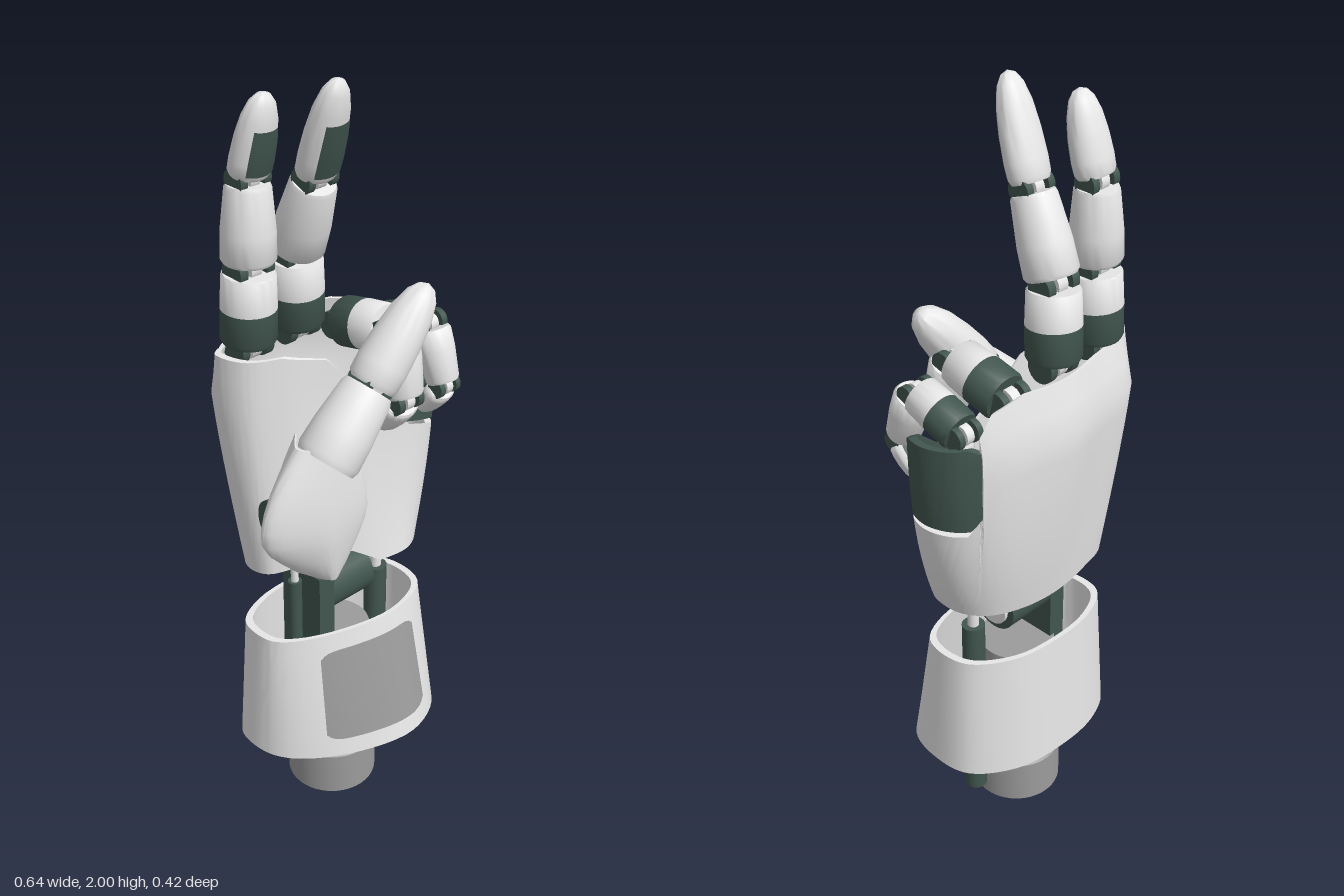
import * as THREE from 'three';
import { toCreasedNormals } from 'three/addons/utils/BufferGeometryUtils.js';

const material = (name, color) => {
  const m = new THREE.MeshStandardMaterial({ color, side: THREE.DoubleSide });
  m.name = name;
  return m;
};
const V = (x, y, z) => new THREE.Vector3(x, y, z);
const UP = V(0, 1, 0);

// piecewise linear lookup in a list of [input, output] pairs
function interp(table, v) {
  if (v <= table[0][0]) return table[0][1];
  for (let i = 1; i < table.length; i++) {
    const [a, p] = table[i - 1], [b, q] = table[i];
    if (v <= b) return p + (q - p) * (v - a) / (b - a);
  }
  return table[table.length - 1][1];
}

export function createModel() {
  const model = new THREE.Group();
  model.name = 'roboticHand';
  const light = material('lightShell', 0xebebeb);
  const dark = material('darkGreen', 0x42564f);
  const grey = material('midGrey', 0x9c9c9c);

  const add = (parent, name, geo, mat, pos) => {
    const mesh = new THREE.Mesh(geo, mat);
    mesh.name = name;
    if (pos) mesh.position.copy(pos);
    parent.add(mesh);
    return mesh;
  };
  const rod = (parent, name, mat, a, b, r) => {
    const mesh = add(parent, name, new THREE.CylinderGeometry(r, r, a.distanceTo(b), 24), mat,
      a.clone().lerp(b, 0.5));
    mesh.quaternion.setFromUnitVectors(UP, b.clone().sub(a).normalize());
    return mesh;
  };

  // thick curved wall: at(u, y) gives the outer [x, z], low(u)/high(u) its edges
  function wall(name, mat, at, low, high, u0, u1, cols, centre, inner) {
    const pos = [], index = [], rows = 10, n = rows * 2 + 2;
    for (let i = 0; i <= cols; i++) {
      const u = u0 + (u1 - u0) * i / cols;
      for (let j = 0; j < n; j++) {
        const out = j <= rows, t = (out ? j : n - 1 - j) / rows;
        const y = low(u) + (high(u) - low(u)) * t, k = out ? 1 : inner;
        const [x, z] = at(u, y);
        pos.push(centre[0] + (x - centre[0]) * k, y, centre[1] + (z - centre[1]) * k);
      }
    }
    for (let i = 0; i < cols; i++) for (let j = 0; j < n; j++) {
      const a = i * n + j, b = i * n + (j + 1) % n;
      index.push(a, b, a + n, b, b + n, a + n);
    }
    const geo = new THREE.BufferGeometry();
    geo.setAttribute('position', new THREE.Float32BufferAttribute(pos, 3));
    geo.setIndex(index);
    return add(model, name, toCreasedNormals(geo, 0.7), mat);
  }
  const outline = (pts, closed) => {
    const c = new THREE.CatmullRomCurve3(pts.map(([x, z]) => V(x, 0, z)), closed);
    const n = closed ? pts.length : pts.length - 1;
    return u => c.getPoint(closed ? (u / n) % 1 : Math.min(u / n, 1));
  };

  // wrist connector with a hollow end
  const ring = [[0.09, 0.05], [0.09, 0], [0.12, 0], [0.12, 0.125], [0.105, 0.14], [0.105, 0.19],
    [0.12, 0.2], [0.12, 0.24], [0.1, 0.25], [0.1, 0.5], [0, 0.5]].map(p => new THREE.Vector2(...p));
  add(model, 'wristConnector', toCreasedNormals(new THREE.LatheGeometry(ring, 40), 0.5), grey, V(-0.01, 0, -0.01));
  const socket = add(model, 'connectorSocket', new THREE.CircleGeometry(0.092, 32), grey, V(-0.01, 0.05, -0.01));
  socket.rotation.x = Math.PI / 2;

  // forearm cuff and its inset panel
  const cuffLine = outline([[-0.26, -0.01], [-0.248, -0.11], [-0.15, -0.165], [0, -0.175], [0.13, -0.15], [0.235, -0.07],
    [0.255, 0.02], [0.225, 0.145], [0.09, 0.208], [-0.1, 0.157], [-0.225, 0.065]], true);
  const cuff = grow => (u, y) => {
    const p = cuffLine(u), t = (y - 0.2) / 0.37;
    return [p.x * (1 - 0.07 * t) * grow, p.z * (1 - (p.z > 0 ? 0.37 : 0.11) * t) * grow];
  };
  wall('forearmCuff', light, cuff(1), () => 0.2, () => 0.57, 0, 11, 66, [0, 0], 0.92);
  const corner = u => 0.02 * Math.pow(Math.abs((u - 8.47) / 0.87), 8);
  wall('cuffPanel', grey, cuff(1.008), u => 0.25 + corner(u), u => 0.52 - corner(u), 7.6, 9.34, 24, [0, 0], 0.99);

  // wrist linkage
  rod(model, 'sideActuator', dark, V(0.14, 0.055, 0), V(0.14, 0.62, 0), 0.03);
  rod(model, 'sidePushRod', light, V(0.14, 0.6, 0), V(0.14, 0.9, 0), 0.015);
  rod(model, 'thumbActuator', dark, V(-0.145, 0.3, 0), V(-0.145, 0.71, 0), 0.018);
  rod(model, 'thumbPushRod', light, V(-0.145, 0.7, 0), V(-0.145, 0.9, 0), 0.01);
  add(model, 'wristBracket', new THREE.BoxGeometry(0.05, 0.3, 0.14), dark, V(-0.09, 0.575, -0.01));
  rod(model, 'wristPivot', dark, V(-0.065, 0.65, -0.01), V(0.075, 0.65, -0.01), 0.07);
  rod(model, 'wristPivotCap', light, V(0.07, 0.65, -0.01), V(0.085, 0.65, -0.01), 0.05);
  add(model, 'wristPost', new THREE.BoxGeometry(0.05, 0.36, 0.08), dark, V(-0.015, 0.85, -0.02));
  const deck = add(model, 'palmDeck', new THREE.CylinderGeometry(1, 1, 0.02, 40), light, V(0.02, 0.98, -0.055));
  deck.scale.set(0.24, 1, 0.1);
  add(model, 'palmCore', new THREE.BoxGeometry(0.07, 0.16, 0.05), dark, V(0.0, 1.06, 0));

  // palm shell, with the dark guard over the little finger side
  const palmTop = outline([[-0.285, -0.1], [-0.25, -0.165], [-0.13, -0.19], [0, -0.212], [0.12, -0.187], [0.22, -0.15],
    [0.295, -0.095], [0.322, -0.02], [0.297, 0.045], [0.18, 0.07], [0.06, 0.055], [-0.06, 0.03], [-0.18, 0.01], [-0.26, -0.03]], true);
  const palmBase = outline([[-0.225, -0.07], [-0.2, -0.12], [-0.11, -0.145], [0, -0.155], [0.1, -0.14], [0.18, -0.1],
    [0.22, -0.04], [0.225, 0.02], [0.21, 0.07], [0.15, 0.108], [0.06, 0.1], [-0.05, 0.06], [-0.14, 0.03], [-0.215, -0.01]], true);
  const palm = (u, y) => {
    const a = palmBase(u), b = palmTop(u), s = Math.min(1, Math.max(0, (y - 0.72) / 0.54));
    const p = a.lerp(b, 1 - Math.pow(1 - s, 1.2 + 1.2 * THREE.MathUtils.smoothstep(b.x, -0.1, 0.2)));
    const tuck = p.z < -0.1 ? Math.max(0, y - 1.24) * 0.3 * Math.min(1, (-0.1 - p.z) / 0.06) : 0;
    return [p.x, p.z + tuck];
  };
  const palmHigh = [[0, 1.365], [4, 1.36], [4.8, 1.335], [5.2, 1.29], [5.3, 1.06], [5.6, 1.02], [8, 1.02], [9, 1.07],
    [10, 1.19], [11, 1.32], [12, 1.36], [14, 1.365]];
  const palmLow = [[0, 0.75], [3, 0.735], [8, 0.725], [10, 0.725], [10.6, 0.77], [11.2, 0.8], [12, 0.77], [14, 0.75]];
  wall('palmShell', light, palm, u => interp(palmLow, u), u => interp(palmHigh, u), 0, 14, 140, [0.01, -0.06], 0.94);
  wall('littleFingerGuard', dark, palm, u => interp([[5.22, 1.07], [5.5, 1.035], [8, 1.035], [9.3, 1.09]], u),
    u => interp([[5.22, 1.25], [5.5, 1.265], [7.6, 1.26], [8.3, 1.23], [9.3, 1.12]], u), 5.22, 9.3, 40, [0.01, -0.06], 0.94);

  // tapered segment between two points; profile holds [radius, fraction of length]
  function segment(parent, name, mat, a, b, profile, start = 0, sweep = Math.PI * 2) {
    const len = a.distanceTo(b);
    const pts = profile.map(([r, t]) => new THREE.Vector2(r, t * len));
    const mesh = add(parent, name, toCreasedNormals(new THREE.LatheGeometry(pts, 32, start, sweep), 0.7), mat, a);
    mesh.quaternion.setFromUnitVectors(UP, b.clone().sub(a).normalize());
    return mesh;
  }
  // hinge with two dark lugs around a light roller, its pin along x
  function hinge(parent, c, r, half) {
    const g = new THREE.Group();
    g.name = 'hinge';
    g.position.copy(c);
    for (const s of [-1, 1]) rod(g, 'hingeLug', dark, V(s * half * 0.55, 0, 0), V(s * half, 0, 0), r);
    rod(g, 'hingeRoller', light, V(-half * 0.3, 0, 0), V(half * 0.3, 0, 0), r * 0.9);
    rod(g, 'hingePin', grey, V(-half * 0.9, 0, 0), V(half * 0.9, 0, 0), r * 0.4);
    parent.add(g);
    return g;
  }
  const tipProfile = r => [[0, 0], [r * 0.88, 0], [r * 0.98, 0.05], [r, 0.2], [r * 0.95, 0.45], [r * 0.82, 0.7],
    [r * 0.6, 0.88], [r * 0.33, 0.97], [0, 1]];

  // knuckle, two joints and tip of every finger
  function finger(name, r, [knuckle, j1, j2, tip]) {
    const g = new THREE.Group();
    g.name = name;
    const between = (a, b, s, e) => {
      const d = b.clone().sub(a).normalize();
      return [a.clone().addScaledVector(d, s), b.clone().addScaledVector(d, -e)];
    };
    const [p0, p1] = between(knuckle, j1, 0.01, 0.012);
    const split = p0.clone().lerp(p1, 0.5);
    segment(g, 'knuckleSleeve', dark, p0, split, [[0, 0], [r * 0.92, 0], [r, 0.12], [r, 1], [0, 1]]);
    segment(g, 'proximalShell', light, split, p1, [[0, 0], [r, 0], [r * 0.95, 0.95], [r * 0.9, 1], [0, 1]]);
    const [m0, m1] = between(j1, j2, 0.015, 0.012);
    segment(g, 'middleShell', light, m0, m1, [[0, 0], [r * 0.88, 0], [r * 0.97, 0.05], [r * 0.95, 0.4],
      [r * 0.8, 0.95], [r * 0.74, 1], [0, 1]]);
    const [t0, t1] = between(j2, tip, 0.012, 0);
    const tr = r * 0.82;
    const tipShell = segment(g, 'fingertip', light, t0, t1, tipProfile(tr));
    const pad = segment(g, 'fingerPad', dark, t0, t1, [[tr + 0.001, 0.07], [tr + 0.002, 0.2], [tr * 0.95 + 0.002, 0.45],
      [tr * 0.87 + 0.001, 0.62]], -0.75, 1.5);
    for (const m of [tipShell, pad]) m.scale.z = 0.78;
    hinge(g, knuckle, r * 0.55, r * 0.7);
    hinge(g, j1, r * 0.5, r * 0.75);
    hinge(g, j2, r * 0.45, r * 0.65);
    model.add(g);
  }
  finger('indexFinger', 0.067, [V(-0.188, 1.36, -0.097), V(-0.185, 1.555, -0.092), V(-0.178, 1.765, -0.093), V(-0.17, 1.965, -0.04)]);
  finger('middleFinger', 0.068, [V(-0.038, 1.36, -0.1), V(-0.05, 1.555, -0.085), V(-0.06, 1.76, -0.005), V(-0.07, 2, 0.08)]);
  finger('ringFinger', 0.063, [V(0.108, 1.32, -0.095), V(0.108, 1.36, 0.075), V(0.104, 1.19, 0.125), V(0.104, 1.09, 0.05)]);
  finger('littleFinger', 0.052, [V(0.238, 1.28, -0.08), V(0.238, 1.33, 0.07), V(0.238, 1.18, 0.13), V(0.236, 1.09, 0.06)]);

  // thumb base: open curved shell around its dark joint
  const thumbLine = outline([[0, 0.09], [-0.03, 0.14], [-0.12, 0.165], [-0.2, 0.165], [-0.322, 0.09], [-0.22, 0.01]], false);
  const girth = [[0.79, 0.2], [0.82, 0.43], [0.87, 0.7], [0.91, 0.9], [0.95, 1], [1, 0.97], [1.05, 0.86], [1.1, 0.7], [1.17, 0.42]];
  const thumbBase = (u, y) => {
    const p = thumbLine(u), k = interp(girth, y);
    return [-0.135 + (p.x + 0.135) * k, 0.11 + (p.z - 0.11) * (0.5 + 0.5 * k)];
  };
  wall('thumbBaseShell', light, thumbBase, () => 0.79, u => 1.1 + 0.07 * Math.min(1, u / 3.5), 0, 5, 50, [-0.135, 0.09], 0.93);
  rod(model, 'thumbBaseJoint', dark, V(-0.25, 0.95, 0.04), V(-0.12, 0.95, 0.06), 0.06);
  rod(model, 'thumbMount', dark, V(-0.15, 0.95, -0.04), V(-0.13, 0.97, 0.09), 0.04);
  rod(model, 'thumbCore', dark, V(-0.16, 0.95, 0.09), V(-0.12, 1.15, 0.11), 0.045);

  // thumb segments
  const tA = V(-0.145, 1.115, 0.115), tB = V(-0.005, 1.27, 0.12), tC = V(0.165, 1.48, 0.135);
  segment(model, 'thumbProximal', light, tA, tB, [[0, 0], [0.074, 0], [0.08, 0.08], [0.077, 0.4], [0.066, 0.9], [0.06, 0.96], [0, 0.96]]);
  segment(model, 'thumbTip', light, tB, tC, tipProfile(0.064));
  const joint = hinge(model, tB, 0.035, 0.05);
  joint.rotation.z = -Math.PI / 4;

  return model;
}
